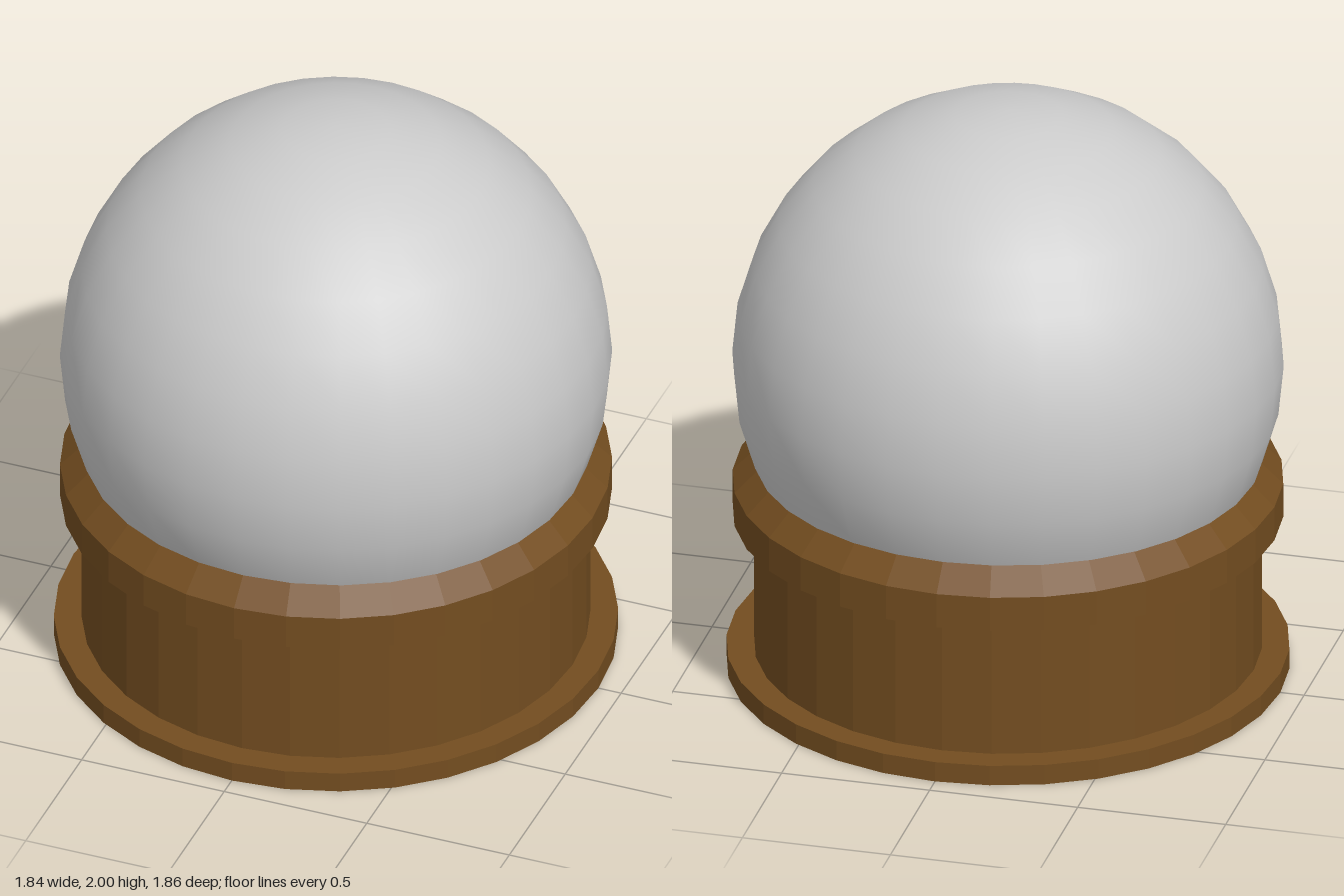
import * as THREE from 'three';

const SIDES = 32;

export function createModel() {
  const model = new THREE.Group();
  model.name = 'snowGlobe';

  const wood = new THREE.MeshStandardMaterial({ color: 0x734d20, flatShading: true });
  const glass = new THREE.MeshStandardMaterial({ color: 0xcccccc });

  // Glass ball, its lower part sunk into the base
  const globe = new THREE.Mesh(new THREE.SphereGeometry(0.902, SIDES, SIDES / 2), glass);
  globe.name = 'globe';
  globe.position.y = 1.098;
  model.add(globe);

  // Turned base: foot, neck and bevelled rim, slightly deeper than wide
  const profile = [
    [0, 0], [0.92, 0], [0.92, 0.07],
    [0.83, 0.07], [0.83, 0.55],
    [0.9, 0.55], [0.9, 0.67], [0.815, 0.755], [0, 0.755],
  ].map(([r, y]) => new THREE.Vector2(r, y));
  const base = new THREE.Mesh(new THREE.LatheGeometry(profile, SIDES), wood);
  base.name = 'base';
  base.scale.z = 1.013;
  model.add(base);

  return model;
}
